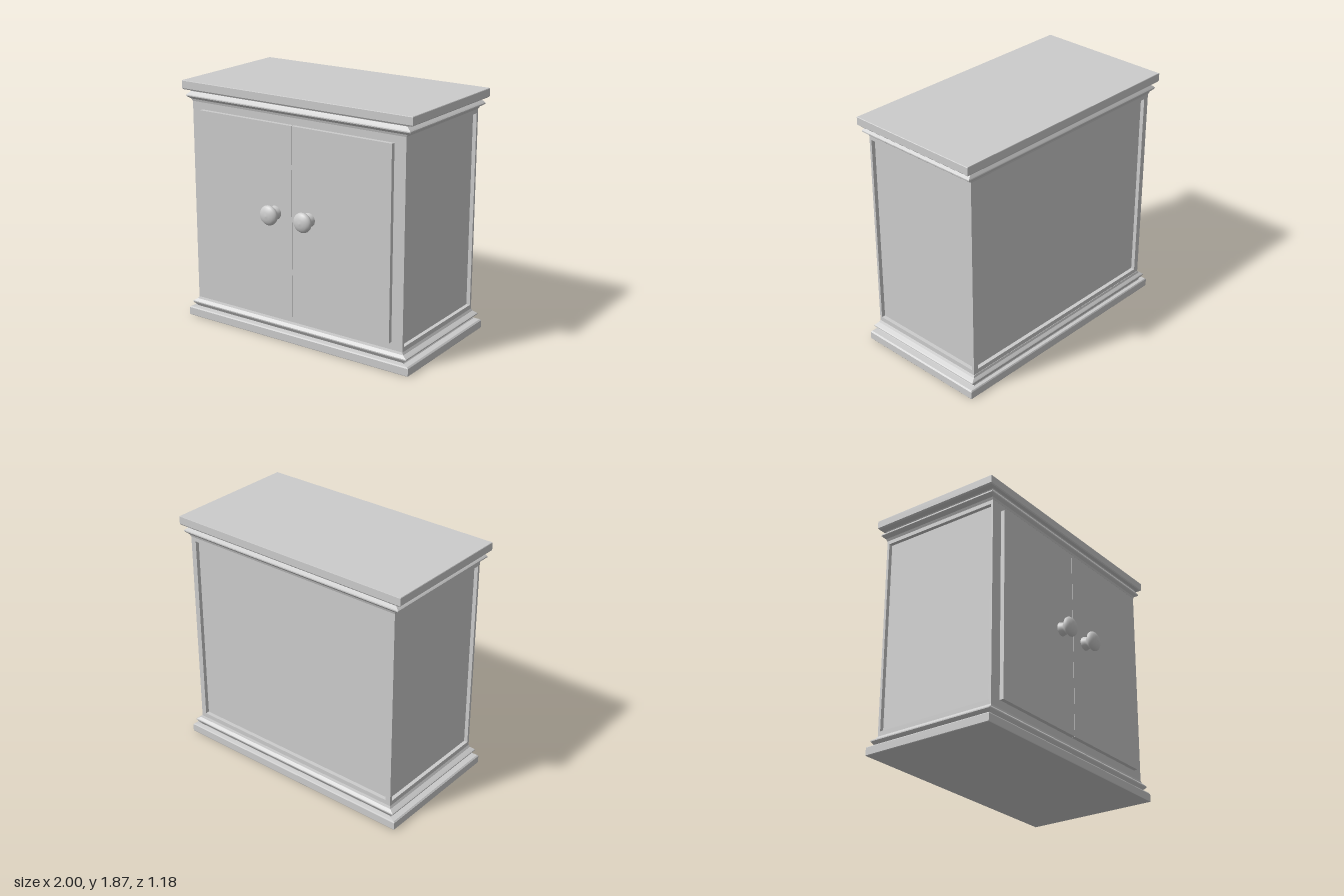
import * as THREE from 'three';

const HEIGHT = 1.87;
const DEPTH_RATIO = 0.534; // depth of every rectangular tier relative to its width
const CENTRE_Z = -0.054;
const BODY_X = 0.93;
const BACK = -0.548, FRONT = 0.442;
const RECESS = 0.03;

const material = new THREE.MeshStandardMaterial({ color: 0xcccccc });

function add(parent, name, geometry, x = 0, y = 0, z = 0) {
  const mesh = new THREE.Mesh(geometry, material);
  mesh.name = name;
  mesh.position.set(x, y, z);
  parent.add(mesh);
  return mesh;
}

// Box given by its limits on each axis
function addBox(parent, name, [x0, x1], [y0, y1], [z0, z1]) {
  return add(parent, name, new THREE.BoxGeometry(x1 - x0, y1 - y0, z1 - z0),
    (x0 + x1) / 2, (y0 + y1) / 2, (z0 + z1) / 2);
}

// Moulding profile swept round a rectangle: a four-sided lathe, scaled
function rectangularLathe(profile) {
  const points = profile.map(([r, y]) => new THREE.Vector2(r, y));
  const geometry = new THREE.LatheGeometry(points, 4).toNonIndexed();
  geometry.rotateY(Math.PI / 4);
  geometry.scale(Math.SQRT2, 1, Math.SQRT2 * DEPTH_RATIO);
  geometry.computeVertexNormals();
  return geometry;
}

// Flat frame with a rectangular opening, extruded along +z
function frameGeometry([x0, x1], [y0, y1], [hx0, hx1], [hy0, hy1]) {
  const rect = (a, b, c, d) => [[a, c], [b, c], [b, d], [a, d]].map(p => new THREE.Vector2(...p));
  const shape = new THREE.Shape(rect(x0, x1, y0, y1));
  shape.holes.push(new THREE.Path(rect(hx0, hx1, hy0, hy1).reverse()));
  return new THREE.ExtrudeGeometry(shape, { depth: RECESS, bevelEnabled: false });
}

export function createModel() {
  const cabinet = new THREE.Group();
  cabinet.name = 'cabinet';

  // Base plinth and its mirror image, the table top, each with a pointed moulding
  const profile = [
    [0, 0], [0.997, 0], [1, 0.004], [1, 0.06], [0.99, 0.069], [0.945, 0.073], [0.94, 0.08],
    [0.967, 0.103], [0.974, 0.11], [0.974, 0.118], [0.965, 0.124], [0.94, 0.138], [0.93, 0.155], [0, 0.155],
  ];
  add(cabinet, 'base', rectangularLathe(profile), 0, 0, CENTRE_Z);
  const topProfile = profile.map(([r, y]) => [r, HEIGHT - y]).reverse();
  add(cabinet, 'top', rectangularLathe(topProfile), 0, 0, CENTRE_Z);

  // Body with recessed side and back panels
  const wallY = [0.15, HEIGHT - 0.15];
  const openY = [0.19, 1.685];
  const inner = BODY_X - RECESS;
  addBox(cabinet, 'body', [-inner, inner], wallY, [BACK + RECESS, FRONT]);
  const backFrame = frameGeometry([-inner, inner], wallY, [-0.888, 0.888], openY);
  add(cabinet, 'backFrame', backFrame, 0, 0, BACK);

  // Side frames: drawn in the z-y plane, then turned to face sideways
  const sideFrame = frameGeometry([-FRONT, -BACK], wallY, [-0.422, 0.528], openY);
  sideFrame.rotateY(Math.PI / 2);
  add(cabinet, 'leftFrame', sideFrame, inner);
  add(cabinet, 'rightFrame', sideFrame, -BODY_X);

  // Turned knob, axis along z
  const knobProfile = [
    [0.052, 0], [0.051, 0.01], [0.046, 0.025], [0.043, 0.036], [0.047, 0.046], [0.06, 0.058],
    [0.072, 0.068], [0.075, 0.077], [0.073, 0.087], [0.065, 0.098], [0.05, 0.108], [0.028, 0.115], [0, 0.118],
  ].map(([r, y]) => new THREE.Vector2(r, y));
  const knob = new THREE.LatheGeometry(knobProfile, 40);
  knob.rotateX(Math.PI / 2);

  // Pair of doors with their knobs
  for (const [side, s] of [['left', 1], ['right', -1]]) {
    const span = [0.002 * s, 0.837 * s].sort((a, b) => a - b);
    addBox(cabinet, side + 'Door', span, [0.212, 1.662], [FRONT - 0.01, 0.474]);
    add(cabinet, side + 'Knob', knob, 0.15 * s, 0.995, 0.474);
  }

  return cabinet;
}
